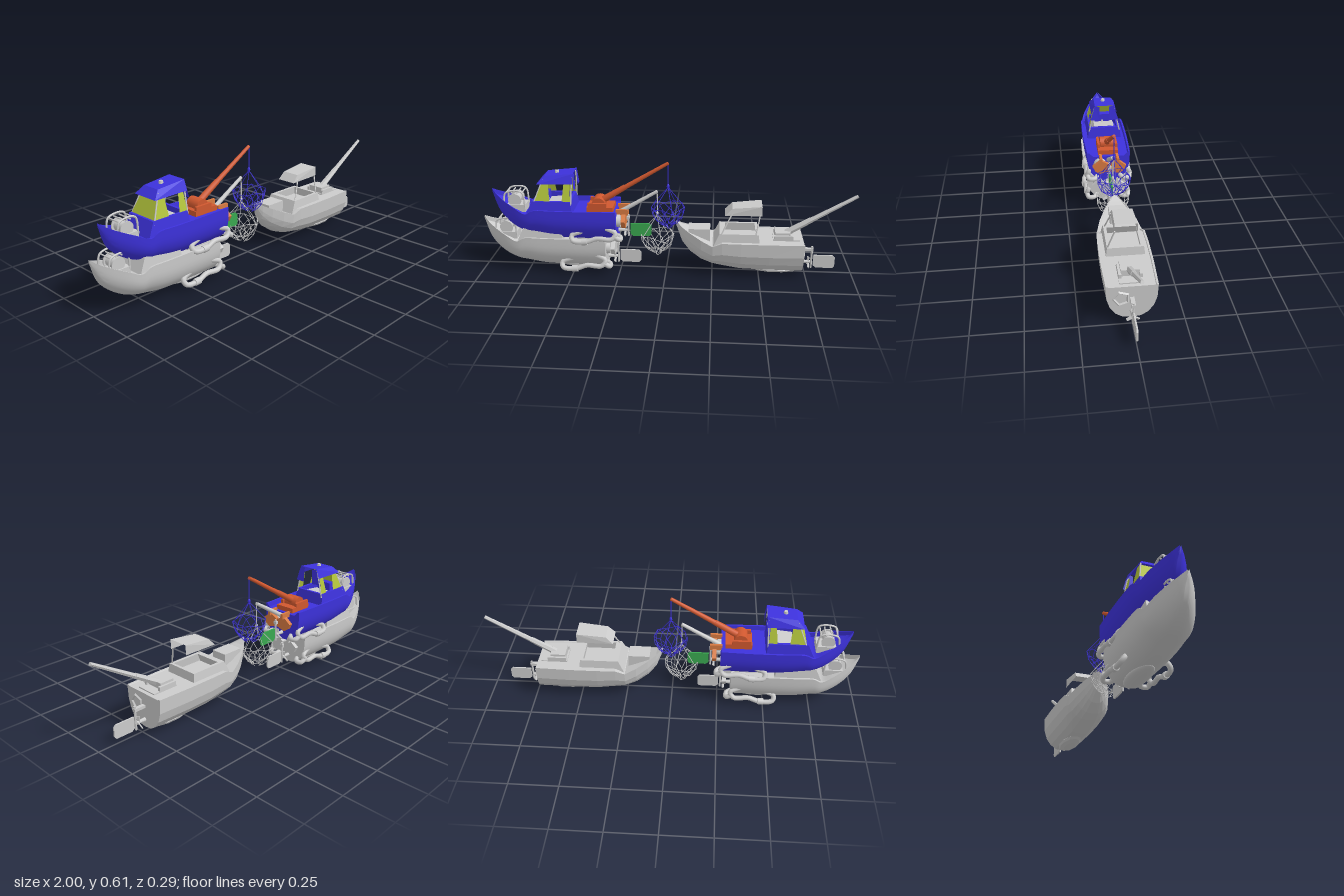
import * as THREE from 'three';
import { mergeGeometries, toCreasedNormals } from 'three/addons/utils/BufferGeometryUtils.js';

const GREY = 0xcccccc, BLUE = 0x3d32dd, ORANGE = 0xd0582f, DOOR = 0xd87a42, LIME = 0xb4c63c, GREEN = 0x3aa850;
const V = (x, y, z) => new THREE.Vector3(x, y, z);

function add(parent, name, geometry, color = GREY, flat = false, double = false) {
  const material = new THREE.MeshStandardMaterial({ color, flatShading: flat });
  if (double) material.side = THREE.DoubleSide;
  const mesh = new THREE.Mesh(geometry, material);
  mesh.name = name;
  parent.add(mesh);
  return mesh;
}

const box = (x0, x1, y0, y1, z0, z1) =>
  new THREE.BoxGeometry(x1 - x0, y1 - y0, z1 - z0).translate((x0 + x1) / 2, (y0 + y1) / 2, (z0 + z1) / 2);

// Tapered rod between two points
function rod(a, b, r0, r1 = r0, sides = 6) {
  const d = b.clone().sub(a);
  const g = new THREE.CylinderGeometry(r1, r0, d.length(), sides);
  g.applyQuaternion(new THREE.Quaternion().setFromUnitVectors(V(0, 1, 0), d.normalize()));
  return g.translate((a.x + b.x) / 2, (a.y + b.y) / 2, (a.z + b.z) / 2);
}

const tube = (points, r, closed = false) =>
  new THREE.TubeGeometry(new THREE.CatmullRomCurve3(points, closed), 36, r, 8, closed);

// Thin panel from corner points in order
function panel(...p) {
  const pos = [];
  for (let i = 1; i < p.length - 1; i++) for (const q of [p[0], p[i], p[i + 1]]) pos.push(q.x, q.y, q.z);
  const g = new THREE.BufferGeometry();
  g.setAttribute('position', new THREE.Float32BufferAttribute(pos, 3));
  g.computeVertexNormals();
  return g;
}

// Closed rings joined along +x, capped at both ends
function loft(rings) {
  const pos = [], n = rings[0].length;
  const tri = (...t) => t.forEach(p => pos.push(p.x, p.y, p.z));
  for (let i = 0; i < rings.length - 1; i++) for (let j = 0; j < n; j++) {
    const k = (j + 1) % n, a = rings[i], b = rings[i + 1];
    tri(a[j], a[k], b[j]);
    tri(a[k], b[k], b[j]);
  }
  for (const [ring, flip] of [[rings[0], true], [rings.at(-1), false]]) {
    const c = ring.reduce((s, p) => s.add(p), V(0, 0, 0)).divideScalar(n);
    for (let j = 0; j < n; j++) {
      const p = ring[j], q = ring[(j + 1) % n];
      flip ? tri(c, q, p) : tri(c, p, q);
    }
  }
  const g = new THREE.BufferGeometry();
  g.setAttribute('position', new THREE.Float32BufferAttribute(pos, 3));
  g.computeVertexNormals();
  return g;
}

// Hull stations: x, half width, keel height, sheer height
const STATIONS = [[0, 0.003, 0.262, 0.28], [0.035, 0.035, 0.165, 0.255], [0.08, 0.066, 0.11, 0.232], [0.14, 0.097, 0.07, 0.205],
  [0.2, 0.116, 0.05, 0.18], [0.25, 0.124, 0.04, 0.204], [0.35, 0.128, 0.024, 0.205], [0.5, 0.128, 0.02, 0.205], [0.68, 0.122, 0.02, 0.205]];
const SECTION = [[1, 1], [0.97, 0.6], [0.84, 0.33], [0.62, 0.14], [0.36, 0.03], [0, 0]];

function hull(low) {
  let rows = STATIONS;
  if (!low) {
    const c1 = new THREE.CatmullRomCurve3(rows.map(r => V(r[0], r[1], r[2])), false, 'catmullrom', 0.5);
    const c2 = new THREE.CatmullRomCurve3(rows.map(r => V(r[0], r[3], 0)), false, 'catmullrom', 0.5);
    rows = Array.from({ length: 33 }, (_, i) => {
      const p = c1.getPoint(i / 32);
      return [p.x, p.y, p.z, c2.getPoint(i / 32).y];
    });
  }
  const curve = new THREE.CatmullRomCurve3(SECTION.map(([z, y]) => V(z, y, 0)));
  const side = low ? SECTION : curve.getPoints(15).map(p => [p.x, p.y]);
  const profile = [...side, ...side.slice(0, -1).reverse().map(([z, y]) => [-z, y])];
  const drop = low ? 0.004 : 0.025;
  const g = loft(rows.map(([x, w, k, s]) => {
    const ring = profile.map(([z, y]) => V(x, k + (s - k) * y, z * w));
    const deck = Math.max(s - drop, k + (s - k) * 0.5);
    ring.push(V(x, s, -w * 0.92), V(x, deck, -w * 0.9), V(x, deck, w * 0.9), V(x, s, w * 0.92));
    return ring;
  }));
  return low ? g : toCreasedNormals(g, 0.6);
}

// Open-topped cabin base, tapering upward
function cabinBase() {
  const s = new THREE.Shape([[0.2, -0.1], [0.45, -0.1], [0.45, 0.1], [0.2, 0.1]].map(p => new THREE.Vector2(...p)));
  s.holes.push(new THREE.Path([[0.23, -0.083], [0.23, 0.083], [0.435, 0.083], [0.435, -0.083]].map(p => new THREE.Vector2(...p))));
  const g = new THREE.ExtrudeGeometry(s, { depth: 0.075, bevelEnabled: false }).rotateX(-Math.PI / 2);
  const p = g.attributes.position;
  for (let i = 0; i < p.count; i++) {
    const t = p.getY(i) / 0.075, x = p.getX(i);
    p.setXYZ(i, x + t * (x < 0.3 ? 0.035 : -0.01), p.getY(i) + 0.17, p.getZ(i) * (1 - 0.1 * t));
  }
  return g;
}

// Canopy: flat top, flared sides and a front visor
function canopy(parent, color, flare) {
  const top = [V(0.3, 0.374, 0.05), V(0.455, 0.39, 0.055)];
  const low = [V(0.262, 0.335, flare), V(0.455, 0.338, flare)];
  const m = p => V(p.x, p.y, -p.z);
  add(parent, 'canopy', mergeGeometries([
    panel(top[0], top[1], m(top[1]), m(top[0])),
    panel(low[0], low[1], top[1], top[0]),
    panel(m(low[0]), m(top[0]), m(top[1]), m(low[1])),
    panel(low[0], top[0], m(top[0]), m(low[0]))]), color, true, true);
}

// Diamond mesh bag hung from the boom tip
function net() {
  const levels = [[0.2, 0.09], [0.17, 0.086], [0.14, 0.073], [0.112, 0.05], [0.092, 0.015]], n = 10, parts = [];
  const at = (i, j) => {
    const a = (j + (i % 2) / 2) / n * Math.PI * 2;
    return V(0.95 + Math.cos(a) * levels[i][1], levels[i][0] + 0.012 * Math.sin(j * 2.4), Math.sin(a) * levels[i][1]);
  };
  for (let i = 0; i < levels.length - 1; i++) for (let j = 0; j < n; j++)
    for (const k of [0, i % 2 ? 1 : -1]) parts.push(rod(at(i, j), at(i + 1, j + k), 0.0018, 0.0018, 4));
  for (let j = 0; j < n; j++) {
    parts.push(rod(at(0, j), at(0, j + 1), 0.0018, 0.0018, 4));
    if (j % 2 === 0) parts.push(rod(at(0, j), V(0.95, 0.31, 0), 0.002, 0.002, 4));
  }
  return mergeGeometries(parts);
}

function rudder() {
  const s = new THREE.Shape([[0.745, 0.04], [0.76, 0.027], [0.85, 0.027], [0.86, 0.04], [0.86, 0.087], [0.848, 0.1], [0.745, 0.1]].map(p => new THREE.Vector2(...p)));
  return new THREE.ExtrudeGeometry(s, { depth: 0.008, bevelEnabled: false }).translate(0, 0, -0.004);
}

function boat(name, low, c) {
  const g = new THREE.Group();
  g.name = name;
  add(g, 'hull', hull(low), c.body, low);
  add(g, 'keelBulge', new THREE.SphereGeometry(1, low ? 10 : 20, low ? 6 : 12).scale(0.14, 0.024, 0.055).translate(0.54, 0.024, 0), c.body, low);
  add(g, 'cabinBase', cabinBase(), c.body, true);
  canopy(g, c.body, low ? 0.055 : 0.075);

  // Crane
  add(g, 'boom', rod(V(0.58, 0.22, 0), V(0.95, 0.443, 0), 0.016, 0.009, low ? 6 : 12), c.crane, low);
  add(g, 'boomSleeve', rod(V(0.575, 0.217, 0), V(0.72, 0.305, 0), 0.019, 0.015, low ? 6 : 12), c.crane, low);
  if (low) add(g, 'craneBase', box(0.53, 0.61, 0.19, 0.24, -0.045, 0.045), c.crane, true);
  else add(g, 'craneDrum', toCreasedNormals(new THREE.CylinderGeometry(0.036, 0.036, 0.08, 20).rotateX(Math.PI / 2).translate(0.58, 0.217, 0), 0.6), c.crane);
  for (const s of [-1, 1]) add(g, 'craneBracket', box(0.525, 0.625, 0.18, 0.228, s * 0.05 - 0.007, s * 0.05 + 0.007), c.crane, true);
  add(g, 'craneFoot', box(0.52, 0.66, 0.175, 0.207, -0.057, 0.057), c.crane, true);

  // Steering gear and propeller
  add(g, 'rudder', rudder(), c.rudder, true);
  add(g, 'rudderPost', rod(V(0.735, 0.025, 0), V(0.735, 0.15, 0), 0.006), GREY, low);
  add(g, 'postBracket', box(0.68, 0.742, 0.125, 0.14, -0.01, 0.01), GREY, true);
  add(g, 'propellerShaft', rod(V(0.66, 0.06, 0), V(0.73, 0.06, 0), 0.012, 0.008, 8), GREY, low);
  for (let i = 0; i < 3; i++)
    add(g, 'propellerBlade', new THREE.BoxGeometry(0.006, 0.032, 0.014).rotateY(0.5).translate(0, 0.018, 0).rotateX(i * Math.PI * 2 / 3).translate(0.718, 0.055, 0), GREY, true);

  if (low) {
    // Simple deck box, five-sided outlet and canopy poles
    add(g, 'deckBox', box(0.07, 0.185, 0.17, 0.25, -0.045, 0.045), GREY, true);
    add(g, 'outletRim', new THREE.TorusGeometry(0.038, 0.007, 4, 5).rotateY(Math.PI / 2).rotateX(Math.PI / 5).translate(0.68, 0.135, 0.05), GREY, true);
    add(g, 'canopyPole', rod(V(0.425, 0.235, 0.088), V(0.445, 0.345, 0.053), 0.004), GREY, true);
    add(g, 'canopyPole', rod(V(0.235, 0.22, 0.088), V(0.3, 0.35, 0.053), 0.004), GREY, true);
    return g;
  }

  // Windscreen, side windows, pillars and rear curtains
  add(g, 'windscreen', panel(V(0.245, 0.246, -0.082), V(0.245, 0.246, 0.082), V(0.29, 0.345, 0.062), V(0.29, 0.345, -0.062)), c.glass, true, true);
  for (const s of [-1, 1]) {
    const p = (x, y, z) => V(x, y, z * s);
    add(g, 'frontSideWindow', panel(p(0.25, 0.246, 0.086), p(0.33, 0.246, 0.086), p(0.322, 0.345, 0.064), p(0.292, 0.345, 0.064)), c.glass, true, true);
    add(g, 'rearSideWindow', panel(p(0.395, 0.246, 0.086), p(0.44, 0.246, 0.086), p(0.436, 0.345, 0.064), p(0.405, 0.335, 0.066)), c.glass, true, true);
    add(g, 'frontPillar', rod(p(0.24, 0.225, 0.089), p(0.295, 0.36, 0.057), 0.004), GREY);
    add(g, 'rearPillar', rod(p(0.442, 0.225, 0.089), p(0.448, 0.375, 0.057), 0.004), GREY);
    add(g, 'rearCurtain', panel(p(0.455, 0.39, 0.055), p(0.457, 0.385, 0.027), p(0.46, 0.3, 0.03), p(0.46, 0.303, 0.082)), c.body, true, true);

    // Side pipes below the waterline
    add(g, 'sidePipe', tube([p(0.62, 0.11, 0.1), p(0.68, 0.085, 0.115), p(0.66, 0.055, 0.125), p(0.58, 0.055, 0.122),
      p(0.52, 0.036, 0.126), p(0.45, 0.04, 0.122), p(0.445, 0.065, 0.105), p(0.5, 0.085, 0.095)], 0.0135));
    add(g, 'pipeCollar', rod(p(0.5, 0.035, 0.125), p(0.53, 0.038, 0.126), 0.018, 0.018, 12));
    add(g, 'sternPipe', tube([p(0.66, 0.06, 0.06), p(0.7, 0.05, 0.08), p(0.7, 0.05, 0.115), p(0.67, 0.07, 0.122)], 0.0135));

    // Trawl doors on the stern
    const shape = new THREE.Shape([[0.095, 0.14], [0.048, 0.176], [0.004, 0.153], [0.004, 0.108], [0.054, 0.093], [0.08, 0.11]].map(q => new THREE.Vector2(-q[0] * s, q[1])));
    add(g, 'trawlDoor', new THREE.ExtrudeGeometry(shape, { depth: 0.022, bevelEnabled: false }).rotateY(Math.PI / 2).translate(0.705, 0, 0), c.door, true);
    add(g, 'doorHanger', box(0.675, 0.74, 0.165, 0.195, s * 0.047 - 0.007, s * 0.047 + 0.007), c.door, true);

    // Winch frame
    add(g, 'winchFrame', tube([p(0.07, 0.215, 0.042), p(0.085, 0.272, 0.042), p(0.17, 0.276, 0.042), p(0.185, 0.19, 0.042)], 0.005));
    add(g, 'winchFlange', new THREE.CylinderGeometry(0.036, 0.036, 0.006, 20).rotateX(Math.PI / 2).translate(0.128, 0.228, s * 0.034));
  }
  add(g, 'winchDrum', new THREE.CylinderGeometry(0.026, 0.026, 0.07, 16).rotateX(Math.PI / 2).translate(0.128, 0.228, 0));
  add(g, 'winchBed', box(0.07, 0.185, 0.165, 0.205, -0.045, 0.045), GREY, true);
  for (const x of [0.085, 0.115, 0.145, 0.17]) add(g, 'winchBar', rod(V(x, 0.272, -0.042), V(x, 0.272, 0.042), 0.004));
  add(g, 'exhaust', toCreasedNormals(rod(V(0.66, 0.135, 0.05), V(0.7, 0.135, 0.05), 0.038, 0.034, 16), 0.6));
  add(g, 'console', box(0.27, 0.31, 0.18, 0.27, -0.045, 0.045), c.body, true);
  add(g, 'roofLight', new THREE.CylinderGeometry(0.01, 0.012, 0.014, 12).translate(0.36, 0.386, 0), GREY);

  // Net and its line
  add(g, 'net', net(), c.net);
  add(g, 'netLine', rod(V(0.95, 0.44, 0), V(0.95, 0.3, 0), 0.003), c.net);
  add(g, 'netBlock', new THREE.SphereGeometry(0.011, 10, 8).scale(0.7, 1.3, 0.7).translate(0.95, 0.315, 0), c.net);
  return g;
}

export function createModel() {
  const model = new THREE.Group();
  model.name = 'fishingBoats';
  const plain = { body: GREY, crane: GREY, rudder: GREY, glass: GREY, door: GREY, net: GREY };
  const painted = { body: BLUE, crane: ORANGE, rudder: GREEN, glass: LIME, door: DOOR, net: BLUE };
  const lower = boat('plainBoat', false, plain);
  lower.position.set(-1, 0, 0);
  const upper = boat('paintedBoat', false, painted);
  upper.position.set(-0.942, 0.157, 0);
  const simple = boat('simpleBoat', true, plain);
  simple.position.set(0.05, 0, 0);
  model.add(lower, upper, simple);
  return model;
}
